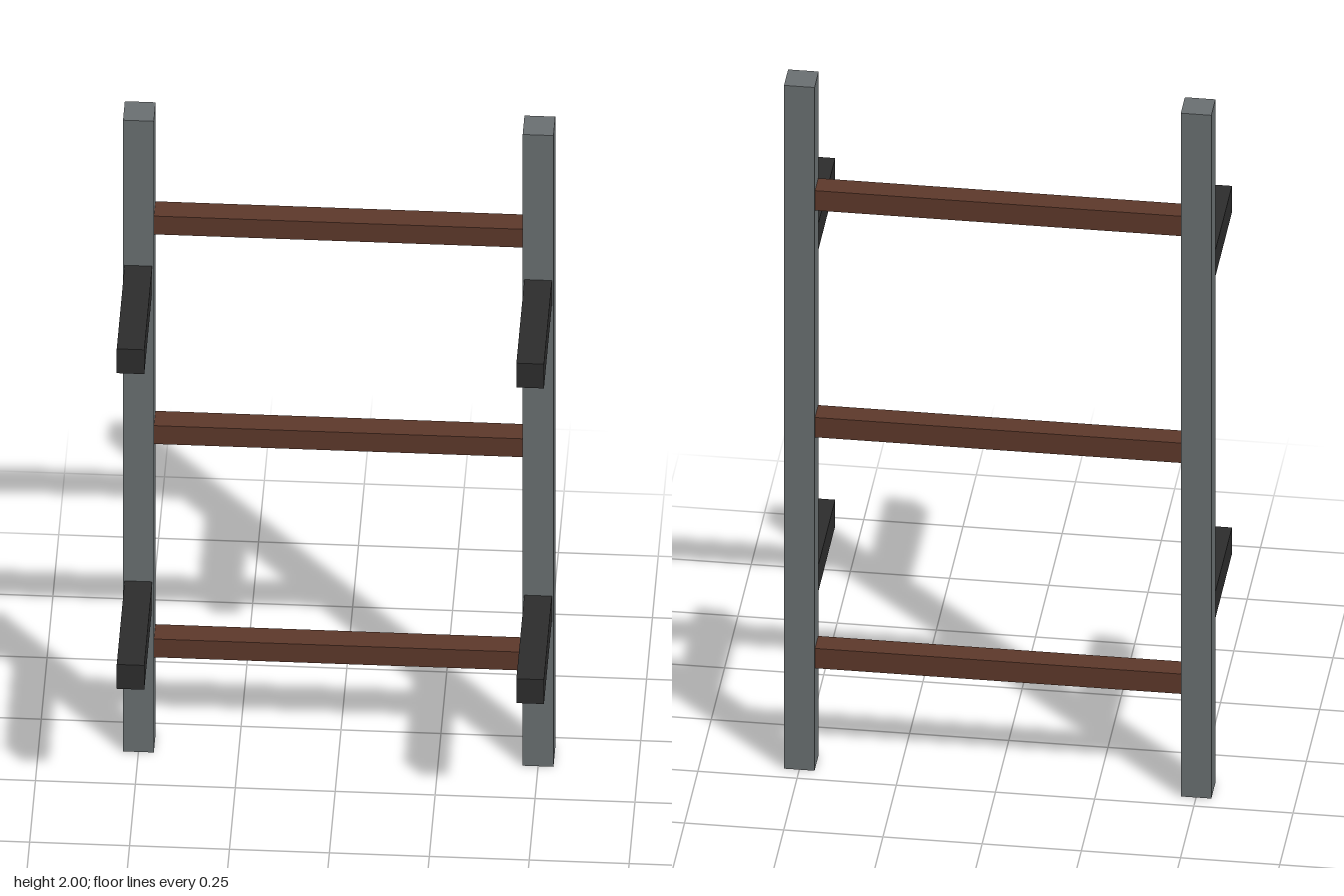
import * as THREE from 'three';

const material = (name, color) => {
  const m = new THREE.MeshStandardMaterial({ color });
  m.name = name;
  return m;
};

export function createModel() {
  const group = new THREE.Group();
  const steel = material('grey steel', 0x6a7072);
  const wood = material('brown wood', 0x5e392b);
  const black = material('dark metal', 0x2d2d2d);

  const box = (name, mat, size, position) => {
    const mesh = new THREE.Mesh(new THREE.BoxGeometry(...size), mat);
    mesh.name = name;
    mesh.position.set(...position);
    group.add(mesh);
  };

  const postZ = -0.17;

  for (const [side, s] of [['left', 1], ['right', -1]]) {
    // Upright post
    box(`${side}Post`, steel, [0.077, 2, 0.077], [s * 0.5, 1, postZ]);
    // Stand-off brackets reaching forward from the post
    for (const [level, y] of [['lower', 0.502], ['upper', 1.502]]) {
      box(`${side}${level === 'lower' ? 'Lower' : 'Upper'}Bracket`, black,
        [0.069, 0.077, 0.341], [s * 0.5, y, 0.038]);
    }
  }

  // Rungs between the posts
  [0.324, 1.0, 1.664].forEach((y, i) =>
    box(`rung${i + 1}`, wood, [0.924, 0.058, 0.06], [0, y, postZ]));

  return group;
}
